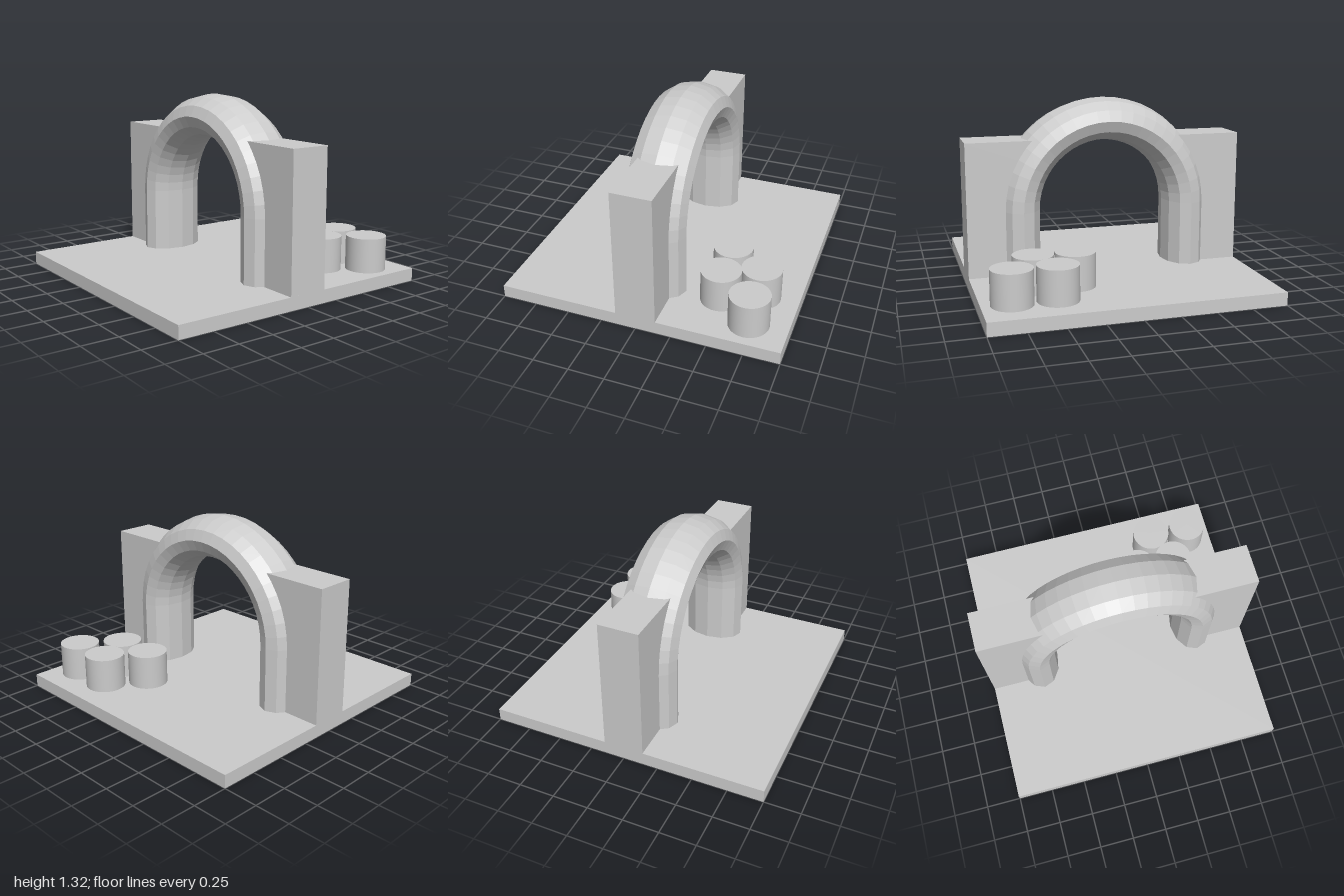
import * as THREE from 'three';

const BASE = 0.092;        // top of the base plate
const WALL_TOP = 1.045;
const CENTRE_Y = 0.551;    // springing height of the arch
const RADIUS = 0.617;      // centreline radius of the arch
const HALF_WIDTH = 0.228, HALF_DEPTH = 0.153;
const WALL_WIDTH = 0.286;

// Twelve-sided oval section swept up one leg, around a half circle and down the other
function archGeometry(steps = 24, sides = 12) {
  const positions = [], indices = [];
  const addRing = (angle, y) => {
    for (let j = 0; j <= sides; j++) {
      const v = (j / sides) * Math.PI * 2;
      const r = RADIUS + HALF_DEPTH * Math.cos(v);
      positions.push(HALF_WIDTH * Math.sin(v), y + r * Math.sin(angle), r * Math.cos(angle));
    }
  };
  addRing(0, BASE);
  for (let i = 0; i <= steps; i++) addRing((i / steps) * Math.PI, CENTRE_Y);
  addRing(Math.PI, BASE);
  const row = sides + 1;
  for (let i = 0; i < steps + 2; i++) {
    for (let j = 0; j < sides; j++) {
      const p = i * row + j;
      indices.push(p, p + 1, p + row, p + 1, p + row + 1, p + row);
    }
  }
  const geometry = new THREE.BufferGeometry();
  geometry.setAttribute('position', new THREE.Float32BufferAttribute(positions, 3));
  geometry.setIndex(indices);
  geometry.computeVertexNormals();
  return geometry;
}

// Wall with its inner end curved to stay buried in the arch
function wallGeometry() {
  const rise = WALL_TOP - CENTRE_Y;
  const inner = Math.sqrt(RADIUS * RADIUS - rise * rise);
  const shape = new THREE.Shape();
  shape.moveTo(1, BASE);
  shape.lineTo(1, WALL_TOP);
  shape.lineTo(inner, WALL_TOP);
  shape.absarc(0, CENTRE_Y, RADIUS, Math.atan2(rise, inner), 0, true);
  shape.lineTo(RADIUS, BASE);
  shape.closePath();
  const geometry = new THREE.ExtrudeGeometry(shape, { depth: WALL_WIDTH, bevelEnabled: false, curveSegments: 16 });
  return geometry.translate(0, 0, -WALL_WIDTH / 2);
}

export function createModel() {
  const model = new THREE.Group();
  const smooth = new THREE.MeshStandardMaterial({ color: 0xcccccc });
  const faceted = new THREE.MeshStandardMaterial({ color: 0xcccccc, flatShading: true });
  const add = (name, geometry, material) => {
    const mesh = new THREE.Mesh(geometry, material);
    mesh.name = name;
    model.add(mesh);
    return mesh;
  };

  // Ground plate
  add('basePlate', new THREE.BoxGeometry(2, BASE, 2), faceted).position.y = BASE / 2;

  // Arch and the walls that run into it from front and back
  add('arch', archGeometry(), faceted);
  const wall = wallGeometry();
  add('frontWall', wall, faceted).rotation.y = -Math.PI / 2;
  add('backWall', wall, faceted).rotation.y = Math.PI / 2;

  // Cluster of drums beside the arch
  const height = 0.243;
  const drum = new THREE.CylinderGeometry(0.141, 0.141, height, 48);
  [[0.475, 0.32], [0.73, 0.497], [0.475, 0.61], [0.73, 0.797]].forEach(([x, z], i) => {
    add(`drum${i + 1}`, drum, smooth).position.set(x, BASE + height / 2, z);
  });

  return model;
}
